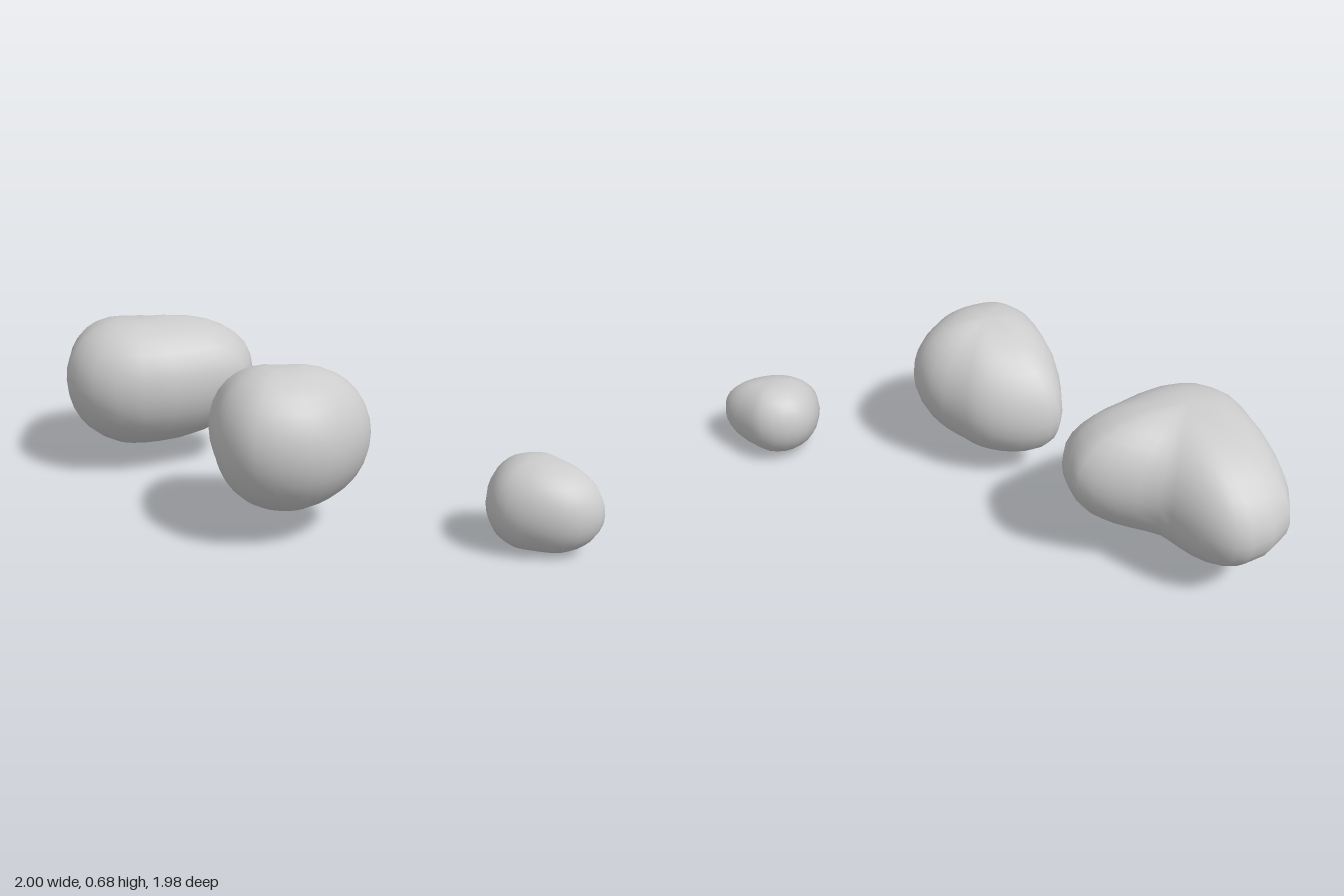
import * as THREE from 'three';
import { mergeVertices } from 'three/addons/utils/BufferGeometryUtils.js';

const material = new THREE.MeshStandardMaterial({ color: 0xcccccc });

// A pebble: a sphere stretched to a plan outline of [x, y, z] points, which run
// left, front, right, back along the widest line. y may rise and fall.
function pebble(name, centre, halfHeight, fullness, outline) {
  const [cx, cy, cz] = centre;
  const curve = new THREE.CatmullRomCurve3(
    outline.map((p) => new THREE.Vector3(...p)), true);
  const sphere = new THREE.SphereGeometry(1, outline.length * 2, 16);
  const pos = sphere.attributes.position;
  const uv = sphere.attributes.uv;
  const rim = new THREE.Vector3();
  for (let i = 0; i < pos.count; i++) {
    const angle = (uv.getY(i) - 0.5) * Math.PI;
    const reach = Math.pow(Math.max(0, Math.cos(angle)), fullness);
    curve.getPoint((uv.getX(i) + 1) % 1, rim);
    pos.setXYZ(i,
      cx + (rim.x - cx) * reach,
      cy + (rim.y - cy) * reach + halfHeight * Math.sin(angle),
      cz + (rim.z - cz) * reach);
  }
  // weld the seam and poles so the shading is smooth all round
  sphere.deleteAttribute('uv');
  sphere.deleteAttribute('normal');
  const geometry = mergeVertices(sphere, 1e-4);
  geometry.computeVertexNormals();
  const mesh = new THREE.Mesh(geometry, material);
  mesh.name = name;
  return mesh;
}

export function createModel() {
  const group = new THREE.Group();
  group.name = 'pebbles';

  // large two-lobed blob at the back
  group.add(pebble('largePebble', [-0.68, 0.375, -0.45], 0.287, 0.85, [
    [-1.0, 0.4, -0.5], [-1.0, 0.4, -0.34], [-0.89, 0.4, -0.18],
    [-0.68, 0.4, -0.13], [-0.4, 0.4, -0.2], [-0.22, 0.41, -0.28],
    [-0.17, 0.42, -0.42], [-0.18, 0.42, -0.51], [-0.3, 0.4, -0.61],
    [-0.45, 0.37, -0.7], [-0.51, 0.35, -0.81], [-0.6, 0.33, -0.94],
    [-0.71, 0.32, -0.99], [-0.91, 0.34, -0.93], [-0.99, 0.38, -0.7],
  ]));

  // middle blob, lower towards its back
  group.add(pebble('middlePebble', [-0.16, 0.385, 0.46], 0.287, 0.85, [
    [-0.44, 0.41, 0.45], [-0.44, 0.41, 0.57], [-0.39, 0.41, 0.69],
    [-0.31, 0.41, 0.76], [-0.16, 0.4, 0.785], [-0.03, 0.4, 0.755],
    [0.08, 0.4, 0.67], [0.16, 0.4, 0.57], [0.18, 0.4, 0.47],
    [0.15, 0.38, 0.36], [0.07, 0.35, 0.26], [0.0, 0.33, 0.17],
    [-0.12, 0.31, 0.1], [-0.26, 0.3, 0.065], [-0.36, 0.31, 0.08],
    [-0.41, 0.35, 0.18], [-0.44, 0.39, 0.32],
  ]));

  // small blob at the front
  group.add(pebble('smallPebble', [0.78, 0.175, 0.78], 0.175, 0.8, [
    [0.57, 0.17, 0.81], [0.61, 0.16, 0.89], [0.7, 0.16, 0.95],
    [0.82, 0.15, 0.985], [0.92, 0.15, 0.97], [0.99, 0.16, 0.92],
    [0.99, 0.17, 0.83], [0.94, 0.18, 0.72], [0.88, 0.19, 0.62],
    [0.77, 0.19, 0.58], [0.67, 0.19, 0.605], [0.6, 0.18, 0.69],
  ]));

  return group;
}
